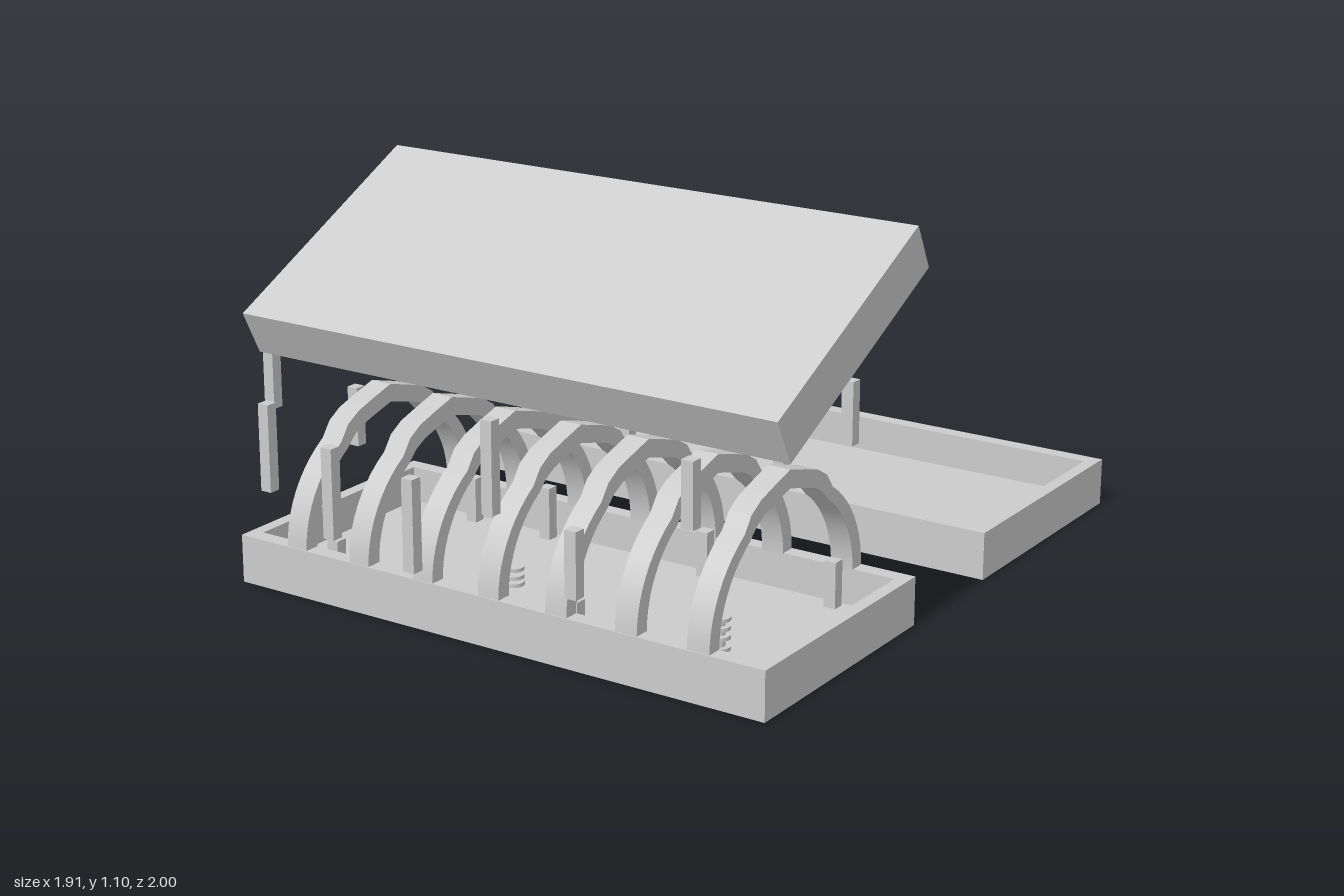
import * as THREE from 'three';
import { toCreasedNormals } from 'three/addons/utils/BufferGeometryUtils.js';

export function createModel() {
  const root = new THREE.Group();
  root.name = 'explodedEnclosure';
  const mat = new THREE.MeshStandardMaterial({ color: 0xcccccc });
  const add = (parent, geo, name, x = 0, y = 0, z = 0) => {
    const m = new THREE.Mesh(geo, mat);
    m.name = name;
    m.position.set(x, y, z);
    parent.add(m);
  };

  // Shallow open tray, centred on its own middle, opening upwards
  const W = 1.678, D = 0.752, H = 0.137, wallX = 0.037, wallZ = 0.046, floor = 0.034, CX = 0.115;
  const rect = (Type, w, d) => {
    const p = new Type();
    p.moveTo(-w / 2, -d / 2);
    p.lineTo(w / 2, -d / 2);
    p.lineTo(w / 2, d / 2);
    p.lineTo(-w / 2, d / 2);
    p.closePath();
    return p;
  };
  const frame = rect(THREE.Shape, W, D);
  frame.holes.push(rect(THREE.Path, W - 2 * wallX, D - 2 * wallZ));
  const frameGeo = new THREE.ExtrudeGeometry(frame, { depth: H, bevelEnabled: false });
  frameGeo.rotateX(-Math.PI / 2).translate(0, -H / 2, 0);
  const floorGeo = new THREE.BoxGeometry(W - 2 * wallX, floor, D - 2 * wallZ);
  function tray(name, y, z, tilt = 0) {
    const g = new THREE.Group();
    g.name = name;
    add(g, frameGeo, 'trayWalls');
    add(g, floorGeo, 'trayFloor', 0, (floor - H) / 2, 0);
    g.position.set(CX, y, z);
    g.rotation.x = tilt;
    root.add(g);
  }
  const base = 0.003, midZ = 0.522;
  tray('baseTray', base + H / 2, midZ);
  tray('spareTray', base + H / 2, -0.622);
  tray('tiltedLid', 0.867, 0.49, Math.PI + 0.466);

  // Seven ribs on the long walls: curved legs, a notch, then a shallow crown
  const leg = (rx, ry, end) => {
    const sweep = Math.acos(end / rx);
    return Array.from({ length: 11 }, (_, i) => {
      const t = (sweep * i) / 10;
      return [rx * Math.cos(t), 0.137 + ry * Math.sin(t)];
    });
  };
  const outer = [...leg(0.373, 0.328, 0.215), [0.184, 0.447], [0.14, 0.473], [0.075, 0.493], [0, 0.514]];
  const inner = [...leg(0.328, 0.297, 0.19), [0.158, 0.41], [0.12, 0.43], [0.065, 0.446], [0, 0.463]];
  const mirrored = (pts) => [...pts, ...pts.slice(0, -1).reverse().map(([x, y]) => [-x, y])];
  const outline = [...mirrored(outer), ...mirrored(inner).reverse()];
  const ribShape = new THREE.Shape(outline.map(([x, y]) => new THREE.Vector2(x, y)));
  const ribW = 0.066;
  const rib = new THREE.ExtrudeGeometry(ribShape, { depth: ribW, bevelEnabled: false });
  rib.translate(0, 0, -ribW / 2).rotateY(Math.PI / 2);
  const ribGeo = toCreasedNormals(rib, 0.25);
  for (let i = -3; i <= 3; i++) add(root, ribGeo, 'archRib', CX + i * 0.2145, 0, midZ);

  // Square posts from a bottom to a top height
  const post = (name, x, z, y0, y1) =>
    add(root, new THREE.BoxGeometry(0.035, y1 - y0, 0.035), name, x, (y0 + y1) / 2, z);

  // Loose posts floating around the frame: x, z, bottom, top
  const loose = [
    [-0.94, 0.507, 0.365, 0.62], [-0.912, 0.175, 0.165, 0.345], [-0.778, 0.716, 0.205, 0.46],
    [-0.388, -0.073, 0.205, 0.46], [-0.388, 0.91, 0.205, 0.46],
    [-0.06, 0, 0.205, 0.46], [-0.06, 0.982, 0.205, 0.46],
    [0.115, 0.108, 0.365, 0.62], [0.115, 0.876, 0.365, 0.62],
    [0.45, 0, 0.245, 0.425], [0.45, 0.982, 0.245, 0.425],
    [0.742, 0.137, 0.465, 0.642], [0.742, 0.905, 0.465, 0.642],
  ];
  for (const [x, z, y0, y1] of loose) post('loosePost', x, z, y0, y1);

  // Short pins through the tray floor
  for (const z of [0.224, 0.835]) {
    for (const x of [-0.44, 0.348]) post('floorPin', x, z, 0, 0.168);
    post('tallPin', -0.18, z, 0.02, 0.19);
  }
  post('floorPin', 0.75, 0.224, 0, 0.168);

  // Washers stacked on a round bolt, and a small stack under the middle rib
  add(root, new THREE.CylinderGeometry(0.016, 0.016, 0.195, 12), 'bolt', 0.75, 0.0975, 0.785);
  add(root, new THREE.CylinderGeometry(0.022, 0.022, 0.004, 12), 'boltHead', 0.75, 0.002, 0.785);
  const washer = new THREE.CylinderGeometry(0.03, 0.03, 0.01, 16);
  for (const y of [0.06, 0.085, 0.115, 0.145, 0.17, 0.194]) add(root, washer, 'washer', 0.75, y, 0.785);
  for (const y of [0.148, 0.168, 0.19]) add(root, washer, 'looseWasher', 0.115, y, 0.785);

  return root;
}
